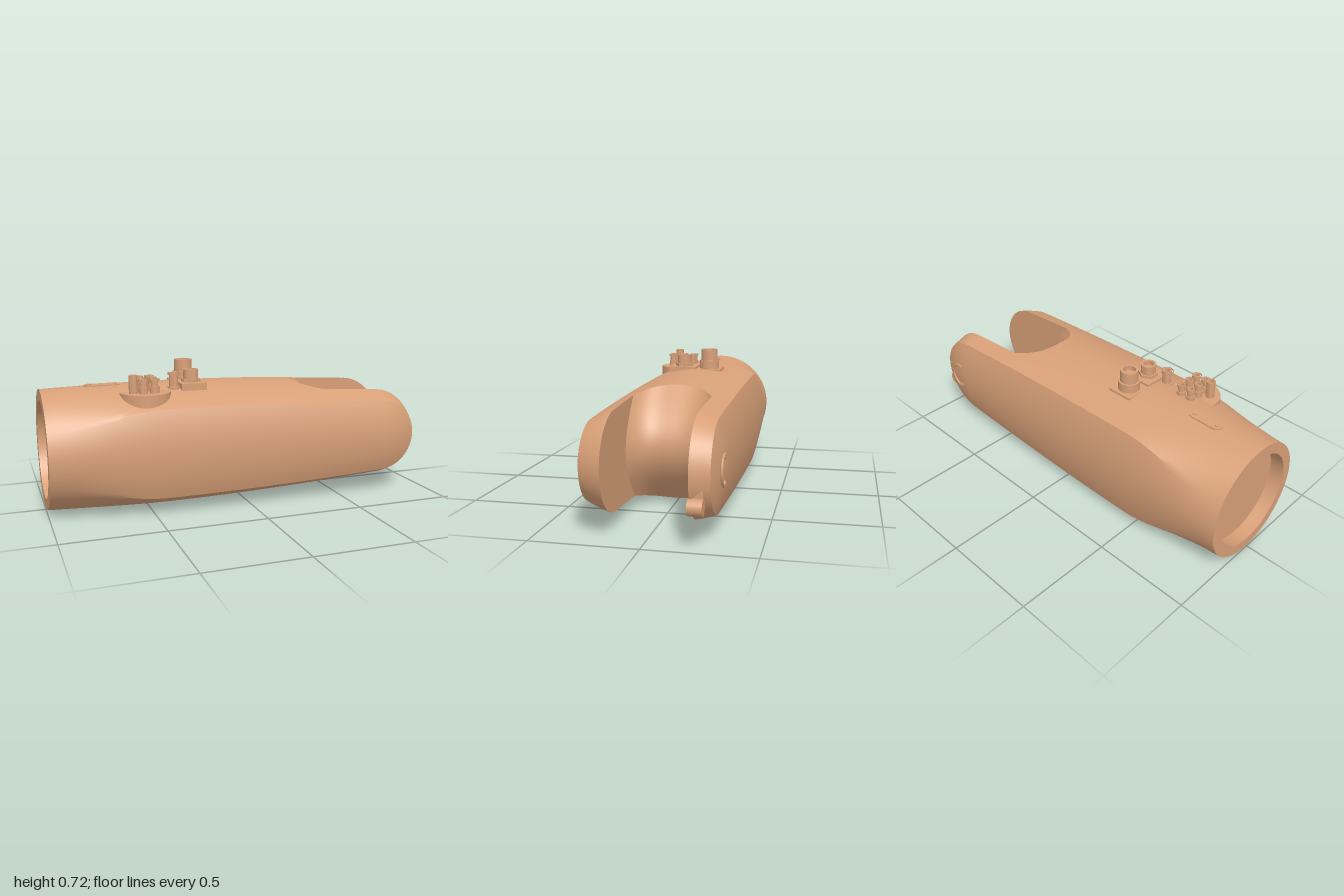
import * as THREE from 'three';
import { toCreasedNormals } from 'three/addons/utils/BufferGeometryUtils.js';

const YC = 0.309, HALF = 0.328, EDGE = 0.88; // axis height, half width, where the side face starts
const CUT = 0.31, FILLET = 0.13, PIVOT = 0.737; // fork cut start, its corner fillet, arm end centre
const WALL_F = 0.18, WALL_B = -0.2; // inner faces of the two arms
const mat = new THREE.MeshStandardMaterial({ color: 0xd8a078, side: THREE.DoubleSide });

function add(parent, name, geo, x = 0, y = 0, z = 0) {
  const m = new THREE.Mesh(geo, mat);
  m.name = name;
  m.position.set(x, y, z);
  parent.add(m);
  return m;
}

// half height of the body at x, for u = -1 (back) .. 1 (front)
function halfHeight(x, u) {
  const H = 0.307 - 0.0306 * (x + 0.5) ** 2;
  const a = Math.abs(u), drop = u > 0 ? 0.28 : 0.18;
  const barrel = a > EDGE
    ? H * (1 - drop) * Math.sqrt(Math.max(0, (1 - a) / (1 - EDGE)))
    : H * (1 - drop * (a / EDGE) ** 2);
  const circle = H * Math.sqrt(Math.max(0, 1 - a * a));
  return THREE.MathUtils.lerp(circle, barrel, THREE.MathUtils.smoothstep(x, -1, -0.45));
}

// the body narrows slightly toward the round end
function zAt(x, u) {
  const k = x < -0.2 ? ((-0.2 - x) / 0.8) ** 2 : 0;
  return -0.01 * k + u * (HALF - 0.029 * k);
}

const TOP = 40, STRAIGHT = 8, ROUND = 32, END = STRAIGHT * 2 + ROUND;

// one lengthwise slice: along the top, around the end, back along the bottom
function slice(u, isArm) {
  const z = u * HALF;
  const s = Math.min(1, Math.abs(z / (z > 0 ? WALL_F : WALL_B)));
  const x1 = CUT + FILLET * (isArm ? 1 : s ** 3);
  const pts = [];
  const put = (x, y) => pts.push(new THREE.Vector3(x, y, zAt(x, u)));
  for (let i = 0; i < TOP; i++) {
    const x = -1 + (x1 + 1) * i / TOP;
    put(x, YC + halfHeight(x, u));
  }
  for (let i = 0; i <= END; i++) {
    if (!isArm) { // bulging floor of the fork
      const t = 1 - 2 * i / END;
      const tip = 0.49 + 0.09 * s ** 3;
      put(x1 + (tip - x1) * Math.cos(t * Math.PI / 2), YC + t * halfHeight(x1, u));
    } else if (i < STRAIGHT || i > END - STRAIGHT) {
      const up = i < STRAIGHT, k = (up ? i : END - i) / STRAIGHT;
      const x = x1 + (PIVOT - x1) * k;
      put(x, YC + (up ? 1 : -1) * halfHeight(x, u));
    } else {
      const a = Math.PI * (0.5 - (i - STRAIGHT) / ROUND), r = halfHeight(PIVOT, u);
      put(PIVOT + r * Math.cos(a), YC + r * Math.sin(a));
    }
  }
  for (let i = TOP - 1; i >= 0; i--) {
    const x = -1 + (x1 + 1) * i / TOP;
    put(x, YC - halfHeight(x, u));
  }
  return pts;
}

// skin through a row of slices
function skin(rows) {
  const n = rows[0].length, pos = [], idx = [];
  rows.forEach(r => r.forEach(p => pos.push(p.x, p.y, p.z)));
  for (let i = 0; i < rows.length - 1; i++)
    for (let j = 0; j < n - 1; j++) {
      const a = i * n + j, c = a + n;
      idx.push(a, c, a + 1, a + 1, c, c + 1);
    }
  const g = new THREE.BufferGeometry();
  g.setAttribute('position', new THREE.Float32BufferAttribute(pos, 3));
  g.setIndex(idx);
  return toCreasedNormals(g, 0.5);
}

const span = (a, b, n) => Array.from({ length: n + 1 }, (_, i) => a + (b - a) * i / n);
const lathe = (pts, seg = 32) =>
  toCreasedNormals(new THREE.LatheGeometry(pts.map(p => new THREE.Vector2(...p)), seg), 0.6);

// arm slices from the inner wall out to the bulging side face
function armRows(wall) {
  const sg = Math.sign(wall);
  const us = span(Math.abs(wall) / HALF, EDGE, 6);
  for (let i = 1; i <= 12; i++) us.push(1 - (1 - EDGE) * (1 - i / 12) ** 2);
  const rows = us.map(u => slice(sg * u, true));
  return sg > 0 ? rows : rows.reverse();
}

// flat inner wall of an arm with its round bearing pocket
function innerWall(group, wall, name) {
  const u = wall / HALF, R = 0.168, depth = 0.035 * Math.sign(wall);
  const flat = rows => rows.slice(TOP, TOP + END + 1).map(p => new THREE.Vector2(p.x, p.y));
  const arm = flat(slice(u, true)), floor = flat(slice(u, false));
  const shape = new THREE.Shape([...arm, ...floor.reverse().slice(1, -1)]);
  const hole = new THREE.Path();
  hole.absarc(PIVOT, YC, R, 0, Math.PI * 2, true);
  shape.holes.push(hole);
  add(group, name + 'InnerWall', new THREE.ShapeGeometry(shape, 32), 0, 0, wall);
  const rim = add(group, name + 'PocketRim', new THREE.CylinderGeometry(R, R, 0.035, 48, 1, true), PIVOT, YC, wall + depth / 2);
  rim.rotation.x = Math.PI / 2;
  const disc = add(group, name + 'PocketFloor', new THREE.CircleGeometry(R, 48), PIVOT, YC, wall + depth);
  if (wall > 0) disc.rotation.y = Math.PI;
}

// upright socket with a hollow top
function socket(parent, name, x, z, y0, y1, r, collar = r, collarTop = y0, seg = 24) {
  const g = lathe([[collar, y0], [collar, collarTop], [r, collarTop], [r, y1],
    [r * 0.7, y1], [r * 0.7, y1 - 0.025], [0, y1 - 0.025]], seg);
  return add(parent, name, g, x, 0, z);
}

export function createModel() {
  const group = new THREE.Group();
  group.name = 'forkedArmLink';

  // shell
  add(group, 'bodyShell', skin(span(WALL_B / HALF, WALL_F / HALF, 28).map(u => slice(u, false))));
  add(group, 'frontArm', skin(armRows(WALL_F)));
  add(group, 'backArm', skin(armRows(WALL_B)));
  innerWall(group, WALL_F, 'frontArm');
  innerWall(group, WALL_B, 'backArm');

  // round open end with a shallow recess
  const end = add(group, 'endRecess', lathe([[0.299, 0], [0.245, 0], [0.245, -0.07], [0, -0.07]], 64), -1, YC, -0.01);
  end.rotation.z = Math.PI / 2;

  // stop tab at the tip of the back arm
  const tab = add(group, 'stopTab', new THREE.CylinderGeometry(0.036, 0.036, 0.065, 24), 0.962, 0.185, -0.229);
  tab.rotation.x = Math.PI / 2;
  add(group, 'stopTabRoot', new THREE.BoxGeometry(0.07, 0.09, 0.06), 0.92, 0.215, -0.229);

  // curved mark with two screws on the outside of the back arm
  const arc = add(group, 'backMark', new THREE.TorusGeometry(0.07, 0.006, 8, 24, Math.PI), 0.8, YC, -0.322);
  arc.rotation.z = -Math.PI / 2;
  for (const s of [-1, 1]) {
    const screw = add(group, 'backScrew', new THREE.CylinderGeometry(0.012, 0.012, 0.012, 16), 0.8, YC + s * 0.06, -0.322);
    screw.rotation.x = Math.PI / 2;
  }

  // round boss carrying a cluster of small fittings
  const cluster = new THREE.Group();
  cluster.name = 'fittingCluster';
  group.add(cluster);
  add(cluster, 'boss', new THREE.CylinderGeometry(0.125, 0.125, 0.08, 48), -0.51, 0.557, 0.142);
  for (const x of [-0.53, -0.475])
    for (const z of [0.08, 0.14, 0.195]) {
      socket(cluster, 'smallFitting', x, z, 0.59, 0.665, 0.018, 0.023, 0.63, 16);
      add(cluster, 'fittingFlange', new THREE.CylinderGeometry(0.024, 0.024, 0.008, 16, 1, true), x, 0.661, z);
    }
  socket(cluster, 'tallFitting', -0.575, 0.177, 0.59, 0.685, 0.022);

  // plates and connectors
  add(group, 'frontPlate', new THREE.BoxGeometry(0.13, 0.05, 0.15), -0.262, 0.6, 0.08);
  add(group, 'backPlate', new THREE.BoxGeometry(0.13, 0.04, 0.13), -0.262, 0.594, -0.068);
  socket(group, 'hexNut', -0.26, 0.08, 0.6, 0.64, 0.05, 0.055, 0.62, 6);
  socket(group, 'frontConnector', -0.26, 0.08, 0.6, 0.687, 0.038);
  socket(group, 'tallConnector', -0.26, -0.062, 0.6, 0.72, 0.045, 0.054, 0.66);
  socket(group, 'sideFitting', -0.357, 0.11, 0.56, 0.679, 0.023, 0.03, 0.61);
  add(group, 'sideFittingFlange', new THREE.CylinderGeometry(0.03, 0.03, 0.01, 20, 1, true), -0.357, 0.673, 0.11);

  // low oval cover with two screws
  const oval = new THREE.Shape();
  oval.absarc(0.06, 0, 0.03, -Math.PI / 2, Math.PI / 2);
  oval.absarc(-0.06, 0, 0.03, Math.PI / 2, Math.PI * 1.5);
  const cover = add(group, 'ovalCover', new THREE.ExtrudeGeometry(oval, { depth: 0.012, bevelEnabled: false }), -0.695, 0.608, -0.01);
  cover.rotation.x = -Math.PI / 2;
  for (const s of [-1, 1])
    add(group, 'coverScrew', new THREE.CylinderGeometry(0.011, 0.011, 0.006, 16), -0.695 + s * 0.065, 0.621, -0.01);

  return group;
}
